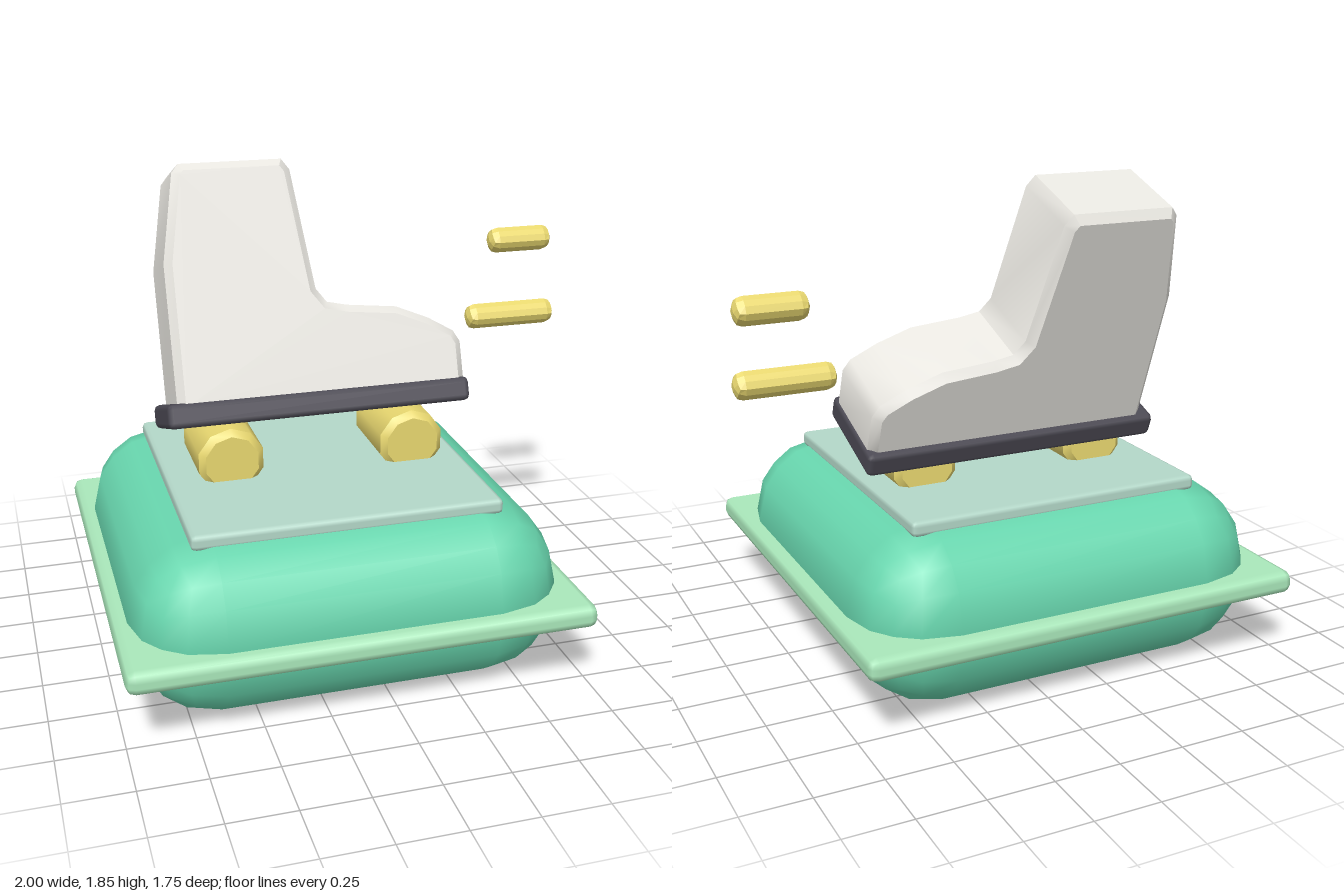
import * as THREE from 'three';
import { RoundedBoxGeometry } from 'three/addons/geometries/RoundedBoxGeometry.js';
import { toCreasedNormals } from 'three/addons/utils/BufferGeometryUtils.js';

const BASE_X = -0.128;
const gold = 0xe9d870;

function part(name, geometry, color, x, y, z, flatShading = false) {
  const mesh = new THREE.Mesh(geometry, new THREE.MeshStandardMaterial({ color, flatShading }));
  mesh.name = name;
  mesh.position.set(x, y, z);
  return mesh;
}

// Low-sided wheel with bevelled rims, axis along z
function wheelGeometry(radius, length, bevel) {
  const h = length / 2;
  const profile = [
    [0, -h], [radius - bevel, -h], [radius, -h + bevel],
    [radius, h - bevel], [radius - bevel, h], [0, h],
  ].map(([r, y]) => new THREE.Vector2(r, y));
  const geometry = new THREE.LatheGeometry(profile, 10);
  geometry.rotateX(Math.PI / 2);
  return toCreasedNormals(geometry, 0.7);
}

// Side outline of the boot upper, extruded across its width with a bevel
function upperGeometry(width) {
  const outline = [
    [-0.655, 0], [0.48, 0], [0.505, 0.03], [0.505, 0.19], [0.48, 0.235],
    [0.38, 0.295], [0.25, 0.35], [0.05, 0.372], [-0.03, 0.39], [-0.07, 0.445],
    [-0.13, 0.915], [-0.16, 0.958], [-0.565, 0.958], [-0.592, 0.925], [-0.655, 0.58],
  ].map(([x, y]) => new THREE.Vector2(x, y));
  const bevel = 0.03;
  const geometry = new THREE.ExtrudeGeometry(new THREE.Shape(outline), {
    depth: width - 2 * bevel,
    bevelEnabled: true,
    bevelThickness: bevel,
    bevelSize: bevel,
    bevelOffset: -bevel,
    bevelSegments: 1,
  });
  geometry.translate(0, 0, -width / 2 + bevel);
  return toCreasedNormals(geometry, 0.6);
}

export function createModel() {
  const model = new THREE.Group();
  model.name = 'bootOnCushion';

  // Base: soft cushion, rim plate around its middle and a pad on top
  model.add(
    part('cushion', new RoundedBoxGeometry(1.635, 0.68, 1.635, 2, 0.31), 0x68d6ae, BASE_X, 0.34, 0),
    part('rimPlate', new RoundedBoxGeometry(1.745, 0.09, 1.745, 1, 0.035), 0xaae8bb, BASE_X, 0.317, 0),
    part('topPad', new RoundedBoxGeometry(1.18, 0.06, 1.18, 1, 0.02), 0xb4d8c9, BASE_X + 0.002, 0.677, 0),
  );

  // Wheels resting in the pad
  for (const [name, x] of [['rearWheel', -0.47], ['frontWheel', 0.255]]) {
    model.add(part(name, wheelGeometry(0.132, 0.38, 0.025), gold, x, 0.778, -0.055));
  }

  // Boot leaning backwards on the wheels
  const boot = new THREE.Group();
  boot.name = 'boot';
  boot.position.set(0, 0.8975, -0.115);
  boot.rotation.x = THREE.MathUtils.degToRad(-20);
  boot.add(
    part('sole', new RoundedBoxGeometry(1.215, 0.095, 0.405, 1, 0.022), 0x4c4a54, -0.092, 0, 0),
    part('upper', upperGeometry(0.365), 0xe8e6e0, 0, 0, 0.005),
  );
  model.add(boot);

  // Floating faceted bars, diamond-shaped in section
  for (const [name, length, x, y, z] of [
    ['upperBar', 0.27, 0.865, 1.46, -0.32],
    ['lowerBar', 0.38, 0.79, 1.17, -0.215],
  ]) {
    const bar = part(name, new RoundedBoxGeometry(length, 0.095, 0.095, 1, 0.035), gold, x, y, z, true);
    bar.rotation.x = Math.PI / 4;
    model.add(bar);
  }

  return model;
}
